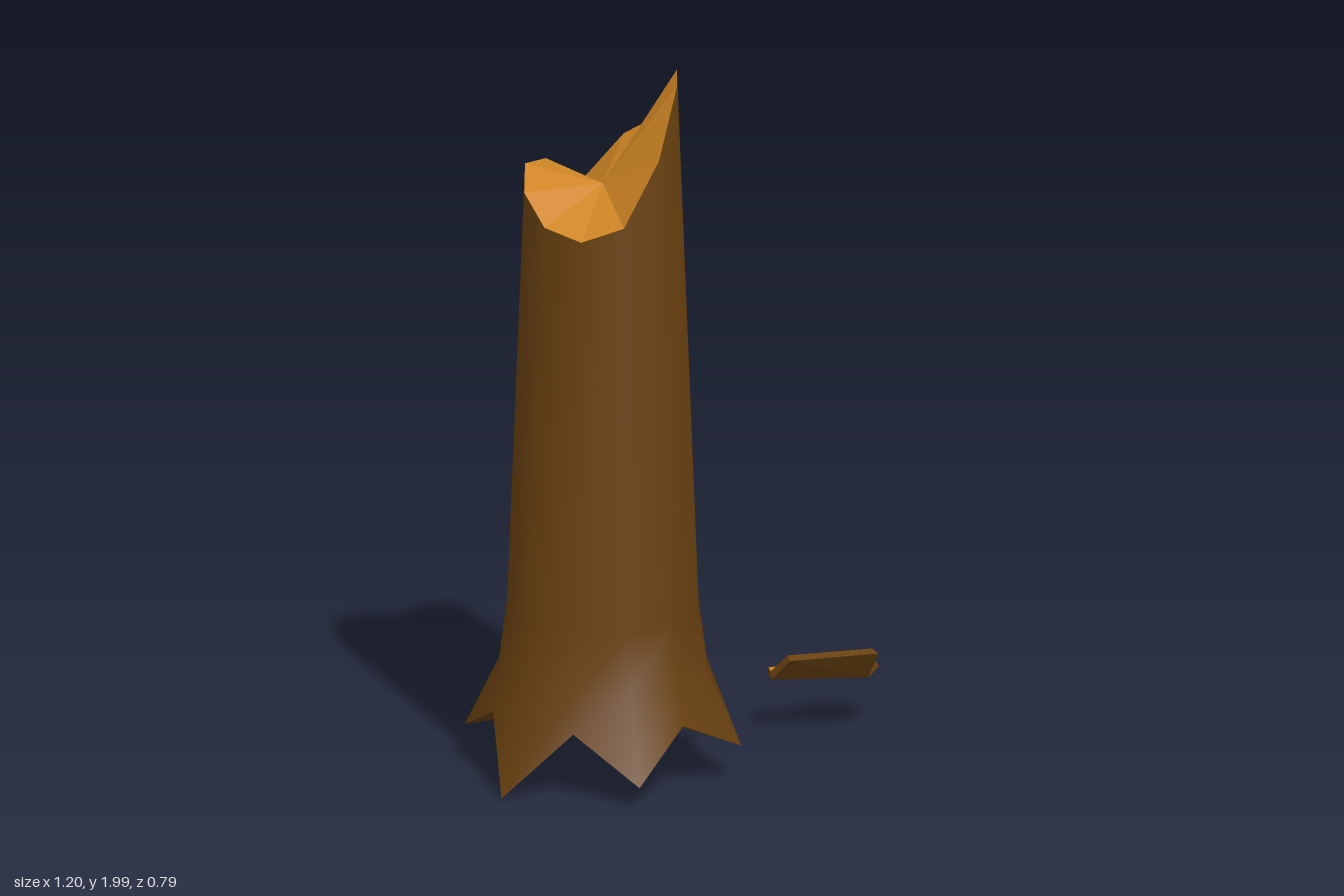
import * as THREE from 'three';

const bark = new THREE.MeshStandardMaterial({ name: 'bark brown', color: 0x6b4211 });
const wood = new THREE.MeshStandardMaterial({ name: 'fresh wood orange', color: 0xcf8524 });

const SIDES = 12;
const CENTRE_X = -0.26;

// Point on the trunk, by column, radius and height
function polar(i, r, y) {
  const a = (i / SIDES) * Math.PI * 2;
  return [r * Math.cos(a), y, r * Math.sin(a)];
}

// Mesh of flat faces; each face is a convex loop of points, fanned into triangles
function facetMesh(name, faces, material) {
  const pos = [];
  for (const f of faces) {
    for (let k = 1; k < f.length - 1; k++) pos.push(...f[0], ...f[k], ...f[k + 1]);
  }
  const g = new THREE.BufferGeometry();
  g.setAttribute('position', new THREE.Float32BufferAttribute(pos, 3));
  g.computeVertexNormals();
  const m = new THREE.Mesh(g, material);
  m.name = name;
  return m;
}

// Smooth skin between stacked rings, listed from the bottom up
function skinMesh(name, rings, material) {
  const index = [];
  for (let r = 0; r < rings.length - 1; r++) {
    for (let i = 0; i < SIDES; i++) {
      const j = (i + 1) % SIDES;
      const a = r * SIDES + i, b = r * SIDES + j;
      index.push(b, a, a + SIDES, b, a + SIDES, b + SIDES);
    }
  }
  const g = new THREE.BufferGeometry();
  g.setAttribute('position', new THREE.Float32BufferAttribute(rings.flat(2), 3));
  g.setIndex(index);
  g.computeVertexNormals();
  const m = new THREE.Mesh(g, material);
  m.name = name;
  return m;
}

function buildTrunk() {
  const trunk = new THREE.Group();
  trunk.name = 'brokenTrunk';
  trunk.position.x = CENTRE_X;

  // Root points alternate with notches; the snapped rim varies per column
  const tipY = [0.11, 0.07, 0.01, 0.11, 0.01, 0.07];
  const rimY = [2.0, 1.985, 1.8, 1.625, 1.585, 1.61, 1.68, 1.73, 1.715, 1.635, 1.77, 1.84];
  const ring = (fn) => Array.from({ length: SIDES }, (_, i) => polar(i, ...fn(i)));

  const roots = ring((i) => (i % 2 ? [0.393, tipY[(i - 1) / 2]] : [0.312, 0.2]));
  const flare = ring(() => [0.295, 0.31]);
  const neck = ring(() => [0.272, 0.48]);
  const rim = ring((i) => [0.272 - (rimY[i] - 0.48) * 0.0405, rimY[i]]);
  trunk.add(skinMesh('trunkBark', [roots, flare, neck, rim], bark));

  // Splintered top and hollowed underside, each a fan around a centre point
  const top = [], under = [];
  for (let i = 0; i < SIDES; i++) {
    const j = (i + 1) % SIDES;
    top.push([[0, 1.69, 0], rim[j], rim[i]]);
    under.push([[0, 0.2, 0], roots[i], roots[j]]);
  }
  trunk.add(facetMesh('brokenTop', top, wood));
  trunk.add(facetMesh('rootUnderside', under, bark));
  return trunk;
}

function buildChip() {
  const chip = new THREE.Group();
  chip.name = 'woodChip';
  // Outline of the folded chip; the last point and the fourth form its fold
  const upper = [
    [0.28, 0.185, -0.262], [0.527, 0.185, -0.312], [0.58, 0.185, -0.25], [0.53, 0.19, -0.18],
    [0.54, 0.257, -0.133], [0.31, 0.243, -0.173], [0.277, 0.185, -0.225],
  ];
  const lower = [
    [0.28, 0.165, -0.278], [0.523, 0.165, -0.33], [0.595, 0.165, -0.262], [0.538, 0.165, -0.165],
    [0.55, 0.25, -0.103], [0.31, 0.235, -0.145], [0.275, 0.165, -0.21],
  ];
  const pick = (loop, ids) => ids.map((k) => loop[k]);
  const base = [0, 1, 2, 3, 6], flap = [3, 4, 5, 6];

  chip.add(facetMesh('chipInside',
    [pick(upper, [...base].reverse()), pick(upper, [...flap].reverse())], wood));

  const sides = upper.map((p, i) => {
    const j = (i + 1) % upper.length;
    return [lower[j], lower[i], p, upper[j]];
  });
  chip.add(facetMesh('chipBark', [...sides, pick(lower, base), pick(lower, flap)], bark));
  return chip;
}

export function createModel() {
  const model = new THREE.Group();
  model.name = 'brokenTreeStump';
  model.add(buildTrunk(), buildChip());
  return model;
}
